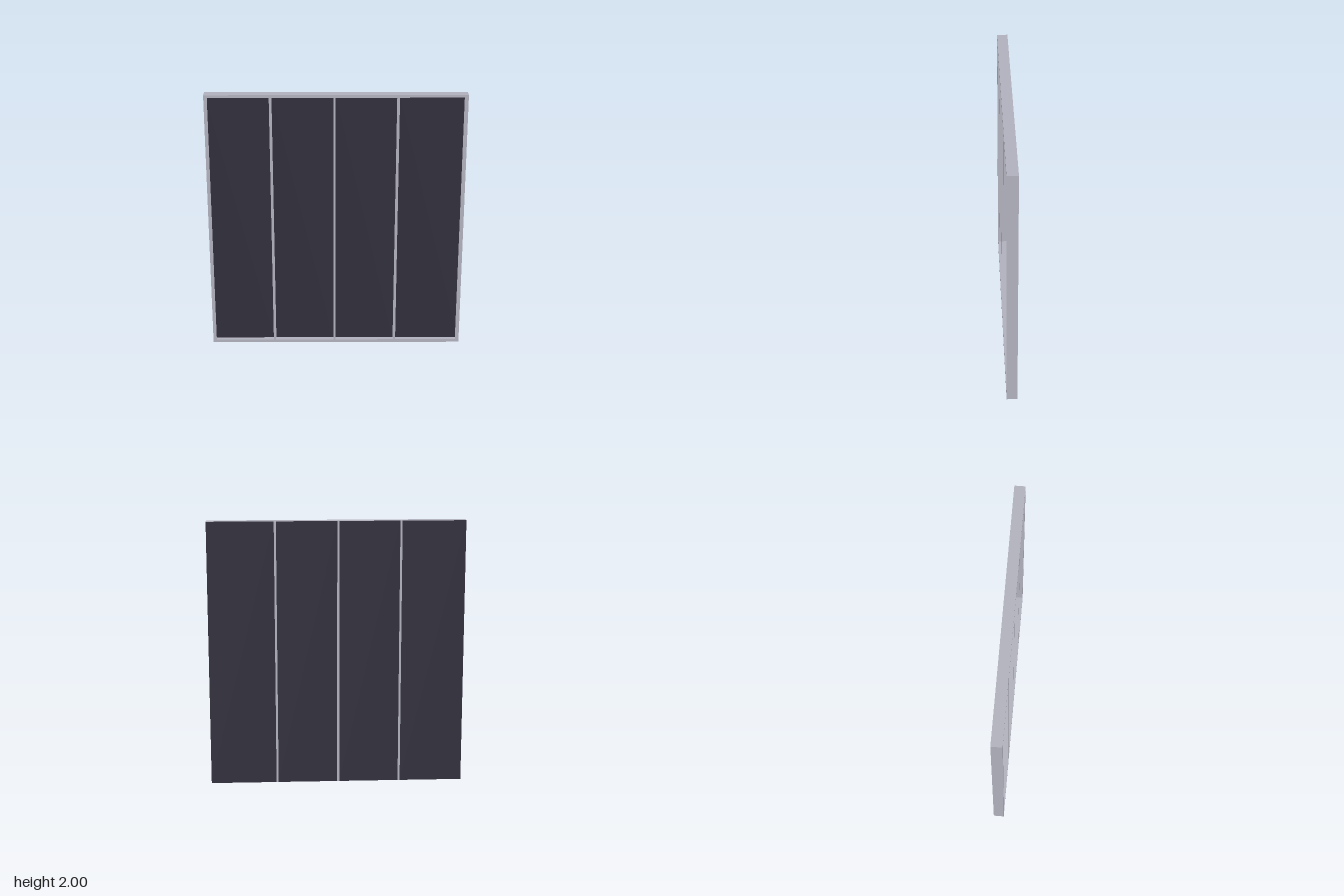
import * as THREE from 'three';

const W = 0.956, H = 2, D = 0.04;          // half width, height, half depth
const BARS = [-0.477, -0.012, 0.453];      // divider centres
const B = 0.008;                           // divider half width

export function createModel() {
  const frame = new THREE.MeshStandardMaterial({ color: 0xb1b1bd, side: THREE.DoubleSide });
  frame.name = 'pale grey frame';
  const panel = new THREE.MeshStandardMaterial({ color: 0x302e3b, side: THREE.DoubleSide });
  panel.name = 'dark panel';

  const group = new THREE.Group();
  group.name = 'panelledWindow';
  const add = (name, geometry, material) => {
    const mesh = new THREE.Mesh(geometry, material);
    mesh.name = name;
    group.add(mesh);
    return mesh;
  };
  const rect = (Type, x0, x1, y0, y1) => new Type([
    new THREE.Vector2(x0, y0), new THREE.Vector2(x1, y0),
    new THREE.Vector2(x1, y1), new THREE.Vector2(x0, y1),
  ]);

  // Front lattice: a thin border and dividers around four openings
  const lattice = rect(THREE.Shape, -W, W, 0, H);
  const starts = [-0.93, ...BARS.map((x) => x + B)];
  const ends = [...BARS.map((x) => x - B), 0.927];
  starts.forEach((x, i) => lattice.holes.push(rect(THREE.Path, x, ends[i], 0.023, 1.98)));
  add('frontLattice', new THREE.ShapeGeometry(lattice), frame).position.z = D;

  // Outer walls of the shallow hollow case
  for (const s of [-1, 1]) {
    const side = add(s < 0 ? 'rightWall' : 'leftWall', new THREE.PlaneGeometry(2 * D, H), frame);
    side.position.set(s * W, H / 2, 0);
    side.rotation.y = s * Math.PI / 2;
    const cap = add(s < 0 ? 'bottomWall' : 'topWall', new THREE.PlaneGeometry(2 * W, 2 * D), frame);
    cap.position.y = s < 0 ? 0 : H;
    cap.rotation.x = -s * Math.PI / 2;
  }

  // Back: dark panels reaching the edges, with pale strips between them
  const backPiece = (name, x0, x1, material) => {
    const piece = add(name, new THREE.PlaneGeometry(x1 - x0, H), material);
    piece.position.set((x0 + x1) / 2, H / 2, -D);
    piece.rotation.y = Math.PI;
  };
  const backStarts = [-W, ...BARS.map((x) => x + B)];
  const backEnds = [...BARS.map((x) => x - B), W];
  backStarts.forEach((x, i) => backPiece('backPanel' + (i + 1), x, backEnds[i], panel));
  BARS.forEach((x, i) => backPiece('backStrip' + (i + 1), x - B, x + B, frame));

  return group;
}
